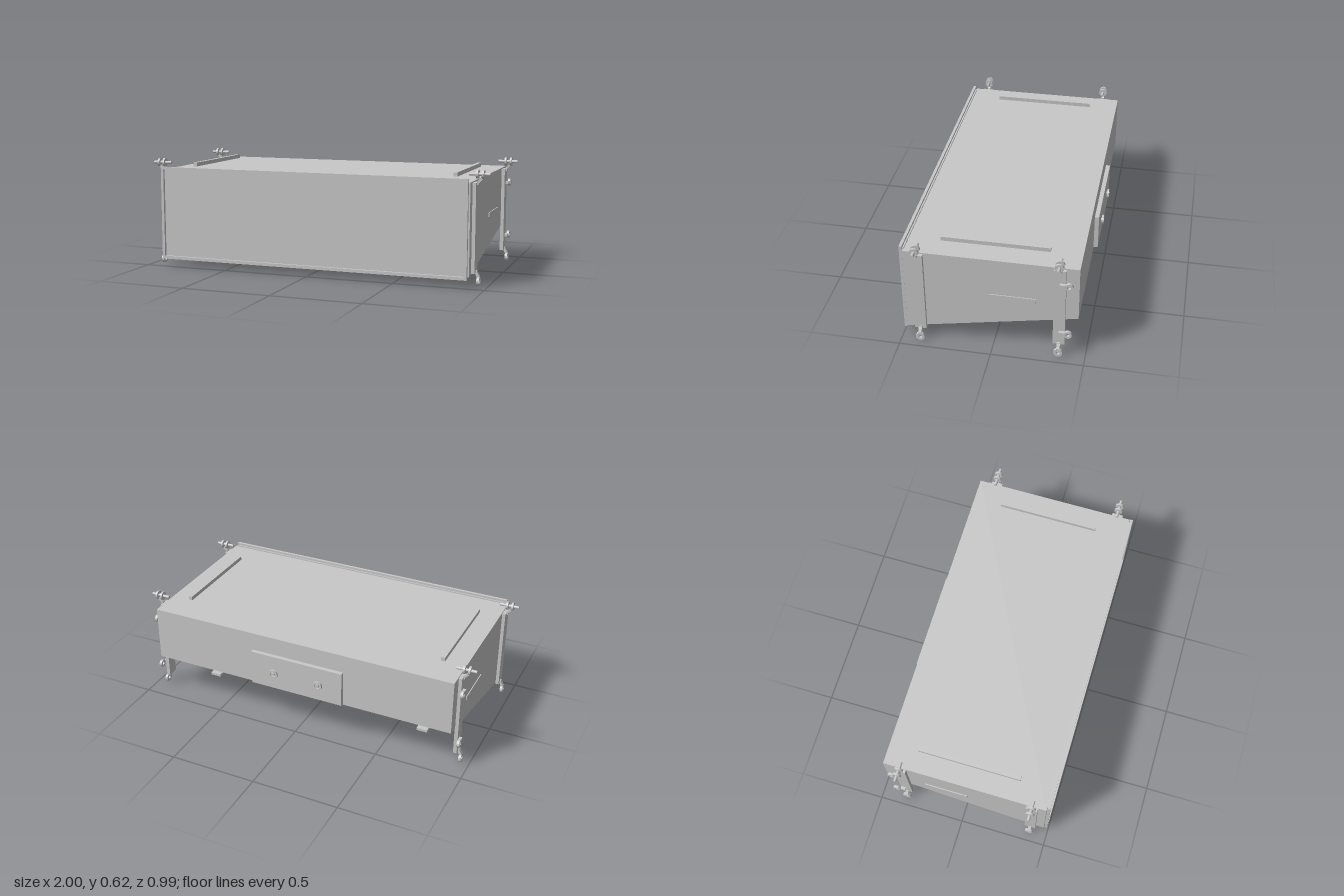
import * as THREE from 'three';

export function createModel() {
  const model = new THREE.Group();
  model.name = 'wedgeCabinet';
  const grey = new THREE.MeshStandardMaterial({ color: 0xc8c8c8 });
  grey.name = 'light grey';

  const add = (parent, name, geometry) => {
    const mesh = new THREE.Mesh(geometry, grey);
    mesh.name = name;
    parent.add(mesh);
    return mesh;
  };
  // Box given by its limits on each axis
  const box = (parent, name, x0, x1, y0, y1, z0, z1) => {
    const mesh = add(parent, name, new THREE.BoxGeometry(x1 - x0, y1 - y0, z1 - z0));
    mesh.position.set((x0 + x1) / 2, (y0 + y1) / 2, (z0 + z1) / 2);
  };
  // Flat ring with its axis along x
  const ring = (parent, name, x, y, z, outer, inner, depth) => {
    const shape = new THREE.Shape().absarc(0, 0, outer, 0, Math.PI * 2);
    shape.holes.push(new THREE.Path().absarc(0, 0, inner, 0, Math.PI * 2, true));
    const geometry = new THREE.ExtrudeGeometry(shape, { depth, bevelEnabled: false, curveSegments: 20 });
    geometry.translate(0, 0, -depth / 2).rotateY(Math.PI / 2);
    add(parent, name, geometry).position.set(x, y, z);
  };
  const toPoints = (pairs) => pairs.map(([x, y]) => new THREE.Vector2(x, y));
  // Flat strap bent in the x-y plane
  const strap = (parent, name, pairs, z, width) => {
    const geometry = new THREE.ExtrudeGeometry(new THREE.Shape(toPoints(pairs)),
      { depth: width, bevelEnabled: false });
    add(parent, name, geometry).position.z = z - width / 2;
  };

  // Wedge body: side profile swept across x
  const profile = new THREE.Shape(toPoints([[-0.475, 0.059], [0.456, 0.242], [0.456, 0.56], [-0.475, 0.56]]));
  const body = new THREE.ExtrudeGeometry(profile, { depth: 1.826, bevelEnabled: false });
  body.translate(0, 0, -0.913).rotateY(Math.PI / 2);
  add(model, 'cabinet', body);

  // Front frame and recessed grille
  const frame = new THREE.Shape(toPoints([[-0.905, 0.043], [0.905, 0.043], [0.905, 0.58], [-0.905, 0.58]]));
  frame.holes.push(new THREE.Path(toPoints([[-0.889, 0.06], [-0.889, 0.565], [0.889, 0.565], [0.889, 0.06]])));
  add(model, 'frontFrame', new THREE.ExtrudeGeometry(frame, { depth: 0.016, bevelEnabled: false }))
    .position.z = 0.478;
  box(model, 'grille', -0.892, 0.892, 0.058, 0.567, 0.47, 0.479);

  // Rear connector plate with two sockets
  box(model, 'connectorPlate', -0.28, 0.28, 0.249, 0.454, -0.48, -0.45);
  for (const x of [-0.138, 0.138]) {
    const socket = new THREE.Group();
    socket.name = 'socket';
    socket.position.set(x, 0.346, -0.488);
    socket.rotation.y = Math.PI / 2;
    ring(socket, 'socketRim', 0.001, 0, 0, 0.027, 0.015, 0.011);
    const core = add(socket, 'socketCore', new THREE.CylinderGeometry(0.01, 0.01, 0.016, 16));
    core.rotation.z = Math.PI / 2;
    model.add(socket);
  }

  // Skids above, feet below, grips on the sides
  for (const s of [-1, 1]) {
    box(model, 'topSkid', s * 0.787 - 0.011, s * 0.787 + 0.011, 0.568, 0.591, -0.287, 0.296);
    for (const z of [0.233, -0.214])
      box(model, 'foot', s * 0.675 - 0.032, s * 0.675 + 0.032, 0.044, 0.059, z - 0.032, z + 0.032);
    box(model, 'sideGrip', s * 0.914 - 0.004, s * 0.914 + 0.004, 0.316, 0.341, -0.23, 0.019);
  }

  // Rigging rails: built on +x, mirrored for the other side
  const buildRail = (z, rear) => {
    const rail = new THREE.Group();
    rail.name = 'riggingRail';
    box(rail, 'rail', 0.911, 0.932, 0.069, 0.553, z - 0.032, z + 0.032);

    // Upper strap, twin rings and locking pin
    strap(rail, 'upperStrap', [[0.93, 0.54], [0.94, 0.54], [0.94, 0.55], [0.967, 0.578],
      [0.96, 0.586], [0.93, 0.558]], z, 0.016);
    for (const x of [0.932, 0.963]) ring(rail, 'pinRing', x, 0.597, z, 0.024, 0.009, 0.012);
    const pin = add(rail, 'lockingPin', new THREE.CylinderGeometry(0.0085, 0.0085, 0.112, 14));
    pin.rotation.z = Math.PI / 2;
    pin.position.set(0.944, 0.597, z);

    // Lower strap and eye
    strap(rail, 'lowerStrap', [[0.927, 0.083], [0.927, 0.07], [0.94, 0.045], [0.954, 0.045],
      [0.954, 0.052], [0.939, 0.078], [0.939, 0.083]], z, 0.018);
    ring(rail, 'lowerEye', 0.947, 0.0245, z, 0.0245, 0.01, 0.015);

    // Rear rails carry two more eyes pointing backwards
    if (rear) for (const y of [0.154, 0.469]) {
      box(rail, 'sideStem', 0.93, 0.949, y - 0.008, y + 0.008, z - 0.029, z);
      ring(rail, 'sideEye', 0.946, y, z - 0.05, 0.022, 0.01, 0.015);
    }
    return rail;
  };
  for (const [z, rear] of [[0.396, false], [-0.356, true]]) {
    model.add(buildRail(z, rear));
    const mirrored = buildRail(z, rear);
    mirrored.scale.x = -1;
    model.add(mirrored);
  }
  return model;
}
